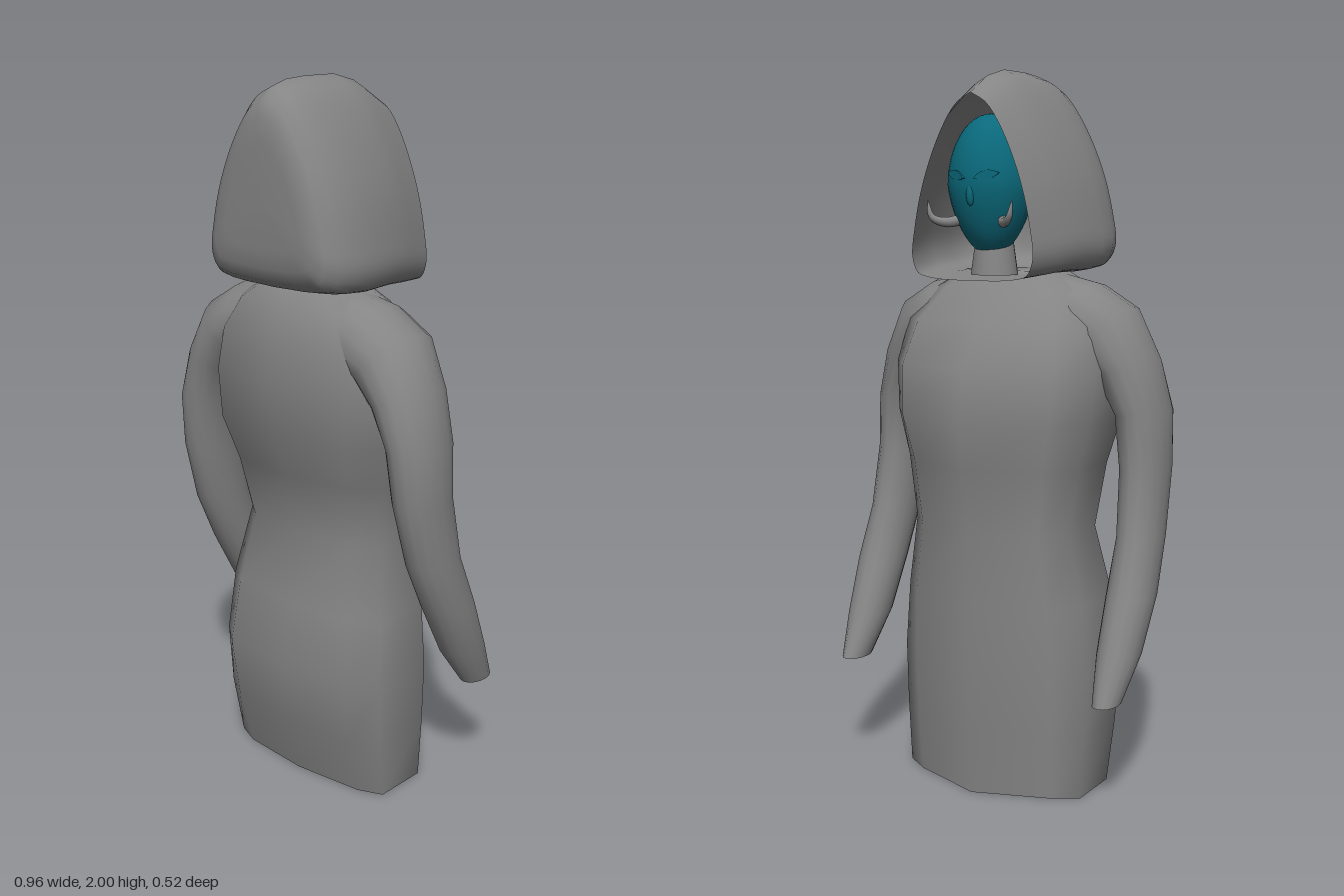
import * as THREE from 'three';

const grey = new THREE.MeshStandardMaterial({ color: 0x858585, side: THREE.DoubleSide });
const teal = new THREE.MeshStandardMaterial({ color: 0x0a697b });
const V = (x, y, z) => new THREE.Vector3(x, y, z);

// Skin a list of closed rings; a doubled ring makes a sharp edge.
function loft(rings) {
  const n = rings[0].length, pos = [], idx = [];
  rings.forEach(r => r.forEach(p => pos.push(p.x, p.y, p.z)));
  for (let i = 0; i < rings.length - 1; i++) {
    for (let j = 0; j < n; j++) {
      const k = (j + 1) % n, a = i * n + j, b = i * n + k;
      idx.push(a, b, b + n, a, b + n, a + n);
    }
  }
  const g = new THREE.BufferGeometry();
  g.setAttribute('position', new THREE.Float32BufferAttribute(pos, 3));
  g.setIndex(idx);
  g.computeVertexNormals();
  return g;
}

// A ring shrunk to its middle, used to close an end.
function middle(ring) {
  const c = V(0, 0, 0);
  ring.forEach(p => c.addScaledVector(p, 1 / ring.length));
  return ring.map(() => c.clone());
}

function add(parent, name, geometry, material = grey) {
  const mesh = new THREE.Mesh(geometry, material);
  mesh.name = name;
  parent.add(mesh);
  return mesh;
}

// Robe: y, half width, then z from chest centre, chest corner, side to back centre
function robe() {
  const sections = [
    [0, 0.285, -0.20, -0.125, -0.08, 0.08, 0.11, 0.13],
    [0.18, 0.295, -0.215, -0.135, -0.08, 0.11, 0.155, 0.18],
    [0.36, 0.30, -0.22, -0.14, -0.08, 0.12, 0.18, 0.205],
    [0.55, 0.285, -0.22, -0.15, -0.08, 0.10, 0.15, 0.17],
    [0.75, 0.25, -0.22, -0.155, -0.09, 0.06, 0.11, 0.125],
    [0.93, 0.275, -0.24, -0.165, -0.09, 0.08, 0.15, 0.17],
    [1.06, 0.31, -0.26, -0.185, -0.09, 0.10, 0.19, 0.22],
    [1.20, 0.32, -0.235, -0.17, -0.08, 0.11, 0.195, 0.24],
    [1.32, 0.29, -0.16, -0.125, -0.06, 0.12, 0.19, 0.235],
    [1.41, 0.22, -0.09, -0.065, -0.02, 0.11, 0.17, 0.205],
    [1.46, 0.14, -0.05, -0.03, 0.01, 0.09, 0.14, 0.16],
  ];
  const rings = sections.map(([y, w, f, fc, fs, bs, bc, b]) => [
    V(0, y, f), V(-0.75 * w, y, fc), V(-w, y, fs), V(-w, y, bs), V(-0.75 * w, y, bc),
    V(0, y, b), V(0.75 * w, y, bc), V(w, y, bs), V(w, y, fs), V(0.75 * w, y, fc),
  ]);
  const last = rings[rings.length - 1];
  return loft([middle(rings[0]), rings[0], ...rings, middle(last)]);
}

// Sleeve from cuff into the shoulder: centre x, y, z, half width, half depth, inward tilt
function sleeve() {
  const rings = [
    [0.412, 0.33, -0.175, 0.035, 0.055, 0],
    [0.412, 0.45, -0.105, 0.058, 0.075, 0],
    [0.413, 0.60, -0.035, 0.066, 0.085, 0],
    [0.408, 0.75, 0.03, 0.062, 0.092, 0],
    [0.400, 0.93, 0.07, 0.066, 0.10, 0],
    [0.390, 1.08, 0.075, 0.072, 0.11, 0.05],
    [0.345, 1.20, 0.068, 0.085, 0.12, 0.3],
    [0.280, 1.29, 0.058, 0.11, 0.13, 0.75],
    [0.205, 1.325, 0.055, 0.115, 0.13, 1.1],
    [0.100, 1.34, 0.055, 0.12, 0.12, 1.4],
  ].map(([x, y, z, rx, rz, tilt]) => Array.from({ length: 16 }, (_, j) => {
    const a = j / 16 * Math.PI * 2, r = rx * Math.cos(a);
    return V(x + r * Math.cos(tilt), y + r * Math.sin(tilt), z - rz * Math.sin(a));
  }));
  return loft([middle(rings[0]), rings[0], ...rings]);
}

// Hood: one arched outline, scaled along z and closed at the far end
function hood() {
  const half = new THREE.CatmullRomCurve3([
    V(0, 0, 0), V(0.72, 0.015, 0), V(0.93, 0.05, 0), V(1, 0.14, 0), V(0.96, 0.27, 0),
    V(0.86, 0.455, 0), V(0.7, 0.64, 0), V(0.48, 0.82, 0), V(0.26, 0.94, 0), V(0, 1, 0),
  ]).getPoints(30);
  const outline = [...half, ...half.slice(1, -1).reverse().map(p => V(-p.x, p.y, 0))];
  // z, half width, top y, bottom y
  const rings = [
    [-0.19, 0.19, 1.93, 1.437], [-0.1, 0.215, 1.98, 1.443], [-0.02, 0.235, 2.0, 1.45],
    [0.09, 0.25, 2.0, 1.45], [0.16, 0.245, 1.995, 1.455], [0.21, 0.23, 1.98, 1.465],
    [0.24, 0.205, 1.95, 1.485], [0.254, 0.175, 1.91, 1.52], [0.26, 0.13, 1.85, 1.57],
  ].map(([z, w, top, low]) => outline.map(p => V(p.x * w, low + p.y * (top - low), z)));
  return loft([...rings, middle(rings[rings.length - 1])]);
}

// Tapered tusk curving out and up from the cheek
function tusk() {
  const curve = new THREE.CatmullRomCurve3([
    V(0.065, 1.60, -0.13), V(0.09, 1.592, -0.17), V(0.12, 1.605, -0.195), V(0.132, 1.65, -0.198),
  ]);
  const steps = 12, sides = 10;
  const g = new THREE.TubeGeometry(curve, steps, 0.015, sides, false);
  const p = g.attributes.position, v = V(0, 0, 0);
  for (let i = 0; i < p.count; i++) {
    const t = Math.floor(i / (sides + 1)) / steps;
    const c = curve.getPointAt(t);
    v.fromBufferAttribute(p, i).sub(c).multiplyScalar(1 - 0.9 * t * t).add(c);
    p.setXYZ(i, v.x, v.y, v.z);
  }
  g.computeVertexNormals();
  return g;
}

// Egg-shaped head, narrower toward the chin
function head() {
  const g = new THREE.SphereGeometry(1, 32, 24);
  const p = g.attributes.position;
  for (let i = 0; i < p.count; i++) {
    const y = p.getY(i), k = 1 + 0.18 * Math.min(y, 0);
    p.setXYZ(i, p.getX(i) * 0.12 * k, 1.69 + y * 0.19, -0.085 + p.getZ(i) * 0.115 * k);
  }
  g.computeVertexNormals();
  return g;
}

// Almond eye: a flat lens with pointed corners
function almond() {
  const s = new THREE.Shape();
  s.moveTo(-0.036, 0);
  s.quadraticCurveTo(0, 0.028, 0.036, 0);
  s.quadraticCurveTo(0, -0.022, -0.036, 0);
  return new THREE.ExtrudeGeometry(s, { depth: 0.012, bevelEnabled: false, curveSegments: 10 });
}

export function createModel() {
  const model = new THREE.Group();
  model.name = 'hoodedFigure';
  add(model, 'robe', robe());
  add(model, 'hood', hood());
  add(model, 'head', head(), teal);

  const neck = add(model, 'neck', new THREE.CylinderGeometry(0.05, 0.065, 0.11, 20));
  neck.position.set(0, 1.505, -0.07);

  const nose = add(model, 'nose', new THREE.SphereGeometry(1, 12, 10), teal);
  nose.scale.set(0.012, 0.03, 0.012);
  nose.position.set(0, 1.665, -0.191);

  // Mirrored parts
  for (const side of [1, -1]) {
    const half = new THREE.Group();
    half.name = side > 0 ? 'leftSide' : 'rightSide';
    half.scale.x = side;
    add(half, 'sleeve', sleeve());
    add(half, 'tusk', tusk());
    const eye = add(half, 'eye', almond(), teal);
    eye.position.set(0.048, 1.715, -0.191);
    eye.rotation.set(0, -0.4, 0.2);
    model.add(half);
  }
  return model;
}
